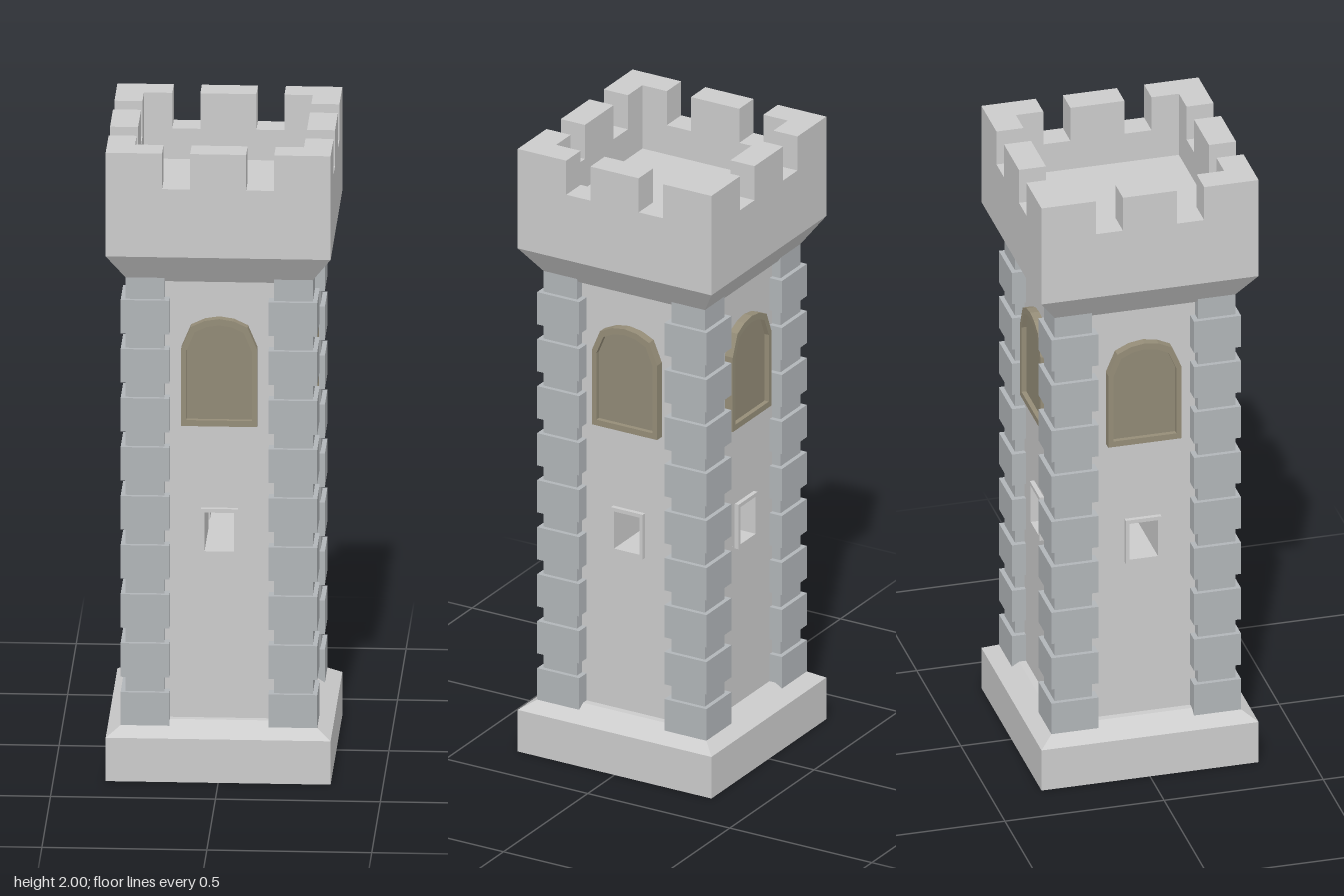
import * as THREE from 'three';

const material = (color) => new THREE.MeshStandardMaterial({ color, flatShading: true });

const WALL = 0.254;   // half width of the shaft
const LEDGE = 0.275;  // half width where plinth and corbel slopes end
const OUTER = 0.341;  // half width of plinth and parapet
const INNER = 0.256;  // half width inside the parapet
const NOTCH = 1.887;  // height of the notch bottoms

export function createModel() {
  const tower = new THREE.Group();
  tower.name = 'tower';
  const stone = material(0xcccccc);
  const cornerStone = material(0xb1b5b8);
  const frameWood = material(0x958d78);
  const paneWood = material(0x918a76);

  const add = (parent, name, geometry, mat, x = 0, y = 0, z = 0) => {
    const mesh = new THREE.Mesh(geometry, mat);
    mesh.name = name;
    mesh.position.set(x, y, z);
    parent.add(mesh);
    return mesh;
  };
  // Box spanning x0..x1, y0..y1, z0..z1
  const block = (parent, name, mat, x0, x1, y0, y1, z0, z1) =>
    add(parent, name, new THREE.BoxGeometry(x1 - x0, y1 - y0, z1 - z0), mat,
      (x0 + x1) / 2, (y0 + y1) / 2, (z0 + z1) / 2);
  // Square solid swept from a profile of [half width, height]
  const squareLathe = (name, profile) => add(tower, name, new THREE.LatheGeometry(
    profile.map(([r, y]) => new THREE.Vector2(r * Math.SQRT2, y)), 4, Math.PI / 4), stone);
  const polygon = (points) => new THREE.Shape(points.map(([x, y]) => new THREE.Vector2(x, y)));
  const extrude = (shape, depth) =>
    new THREE.ExtrudeGeometry(shape, { depth, bevelEnabled: false });

  // Plinth with sloped top and a narrow ledge around the shaft
  squareLathe('plinth', [[0, 0], [OUTER, 0], [OUTER, 0.138], [LEDGE, 0.18], [0, 0.18]]);

  // Shaft, with two crossing passages between the small openings
  const slot = { half: 0.045, bottom: 0.713, top: 0.836 };
  block(tower, 'lowerShaft', stone, -WALL, WALL, 0.17, slot.bottom, -WALL, WALL);
  block(tower, 'upperShaft', stone, -WALL, WALL, slot.top, 1.6, -WALL, WALL);
  for (const sx of [-1, 1]) {
    for (const sz of [-1, 1]) {
      const mid = (WALL + slot.half) / 2;
      const size = WALL - slot.half;
      add(tower, 'middleShaft', new THREE.BoxGeometry(size, slot.top - slot.bottom, size), stone,
        sx * mid, (slot.top + slot.bottom) / 2, sz * mid);
    }
  }

  // Corbel, parapet wall and roof floor
  squareLathe('parapet', [[0, 1.573], [LEDGE, 1.573], [OUTER, 1.67], [OUTER, NOTCH],
    [INNER, NOTCH], [INNER, 1.79], [0, 1.79]]);

  // Corner merlon: L-shaped in plan
  const cornerMerlon = extrude(polygon([[0.17, INNER], [INNER, INNER], [INNER, 0.17],
    [OUTER, 0.17], [OUTER, OUTER], [0.17, OUTER]]), 2 - NOTCH);
  cornerMerlon.rotateX(-Math.PI / 2);

  // Arched window: surround and recessed pane
  const arch = (half, bottom, spring, top) => {
    const rise = top - spring;
    const right = [[half, bottom], [half, spring], [half * 0.75, spring + rise * 0.72],
      [half * 0.38, spring + rise * 0.93]];
    const left = right.map(([x, y]) => [-x, y]).reverse();
    return [...right, [0, top], ...left];
  };
  const outerArch = arch(0.115, 1.115, 1.362, 1.457);
  const innerArch = arch(0.099, 1.134, 1.355, 1.437);
  const archFrame = polygon(outerArch);
  archFrame.holes.push(polygon(innerArch));
  const archFrameGeometry = extrude(archFrame, 0.034);
  const paneGeometry = extrude(polygon(innerArch), 0.019);

  // Rim of the small opening
  const rect = (half, bottom, top) =>
    [[-half, bottom], [half, bottom], [half, top], [-half, top]];
  const rim = polygon(rect(0.056, 0.7, 0.848));
  rim.holes.push(polygon(rect(slot.half, slot.bottom, slot.top)));
  const rimGeometry = extrude(rim, 0.02);

  // Everything that repeats on each of the four sides
  for (let i = 0; i < 4; i++) {
    const side = new THREE.Group();
    side.name = 'side';
    side.rotation.y = i * Math.PI / 2;
    tower.add(side);

    add(side, 'windowFrame', archFrameGeometry, frameWood, 0, 0, WALL - 0.006);
    add(side, 'windowPane', paneGeometry, paneWood, 0, 0, WALL - 0.006);
    add(side, 'openingRim', rimGeometry, stone, 0, 0, WALL - 0.006);

    block(side, 'middleMerlon', stone, -0.085, 0.085, NOTCH, 2, INNER, OUTER);
    add(side, 'cornerMerlon', cornerMerlon, stone, 0, NOTCH, 0);

    // Corner pillar with projecting blocks
    block(side, 'cornerPillar', cornerStone, 0.166, 0.284, 0.15, 1.6, 0.166, 0.284);
    for (let k = 0; k < 9; k++) {
      const y = 0.163 + k * 0.156;
      block(side, 'cornerBlock', cornerStone, 0.15, 0.298, y, y + 0.107, 0.15, 0.298);
    }
  }
  return tower;
}
